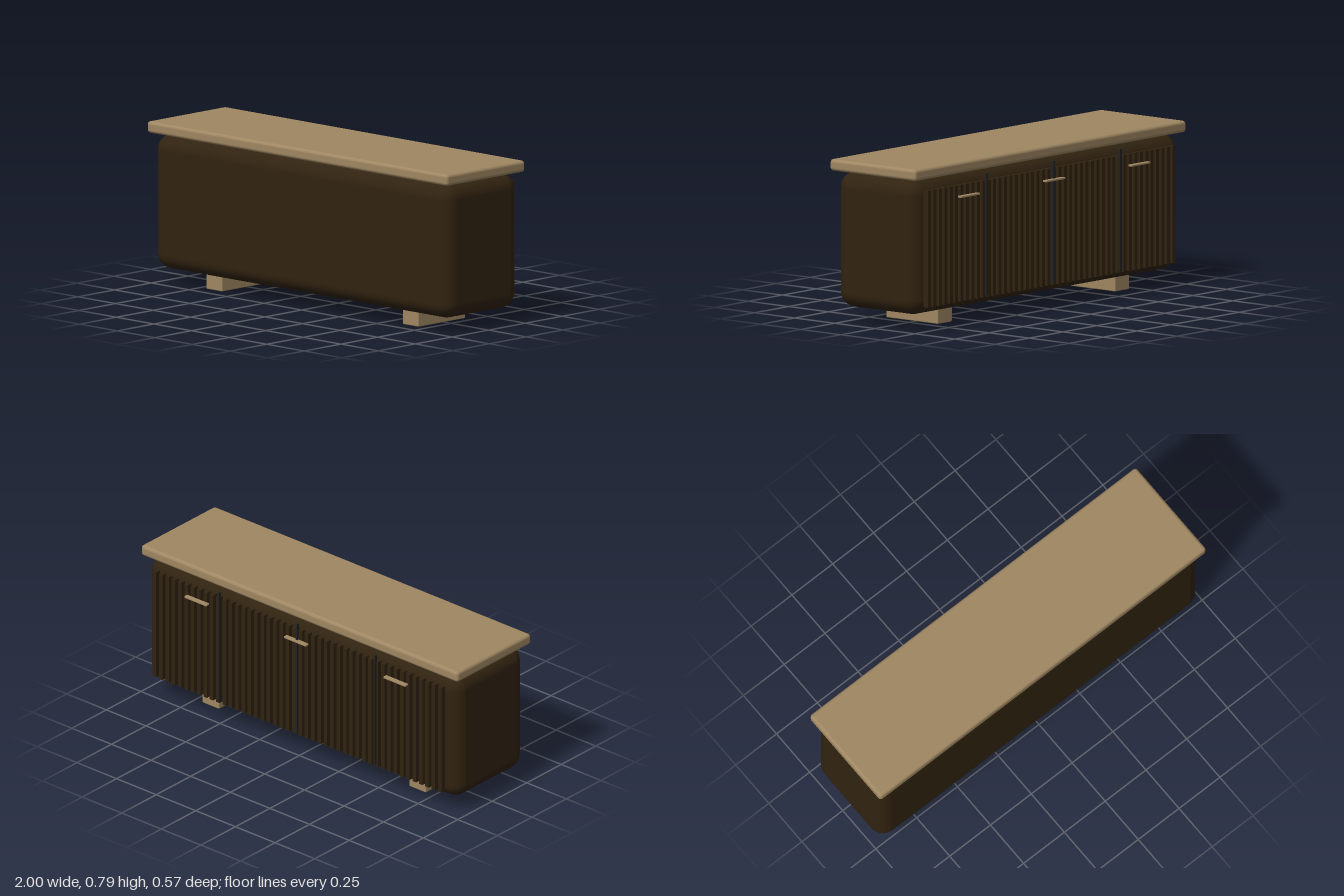
import * as THREE from 'three';
import { RoundedBoxGeometry } from 'three/addons/geometries/RoundedBoxGeometry.js';

const material = (name, color) => {
  const m = new THREE.MeshStandardMaterial({ color });
  m.name = name;
  return m;
};

export function createModel() {
  const group = new THREE.Group();
  group.name = 'sideboard';
  const oak = material('light oak', 0x9f8762);
  const walnut = material('dark walnut', 0x312310);
  const black = material('black trim', 0x222222);

  // Box from its limits on each axis, with optional rounded edges
  function box(name, mat, [x0, x1], [y0, y1], [z0, z1], radius = 0, segments = 3) {
    const size = [x1 - x0, y1 - y0, z1 - z0];
    const geometry = radius
      ? new RoundedBoxGeometry(...size, segments, radius)
      : new THREE.BoxGeometry(...size);
    const mesh = new THREE.Mesh(geometry, mat);
    mesh.name = name;
    mesh.position.set((x0 + x1) / 2, (y0 + y1) / 2, (z0 + z1) / 2);
    group.add(mesh);
  }

  // Cabinet and overhanging top
  box('cabinetBody', walnut, [-0.983, 0.983], [0.078, 0.73], [-0.235, 0.266], 0.075, 4);
  box('topBoard', oak, [-1, 1], [0.734, 0.79], [-0.252, 0.284], 0.016, 4);

  // Sled feet
  for (const x of [-0.653, 0.653])
    box('foot', oak, [x - 0.053, x + 0.053], [0.002, 0.085], [-0.144, 0.178], 0.005, 2);

  // Vertical slats across the doors
  const slatCount = 46, pitch = 0.04;
  for (let i = 0; i < slatCount; i++) {
    const x = (i - (slatCount - 1) / 2) * pitch + 0.005;
    box('slat', walnut, [x - 0.011, x + 0.011], [0.118, 0.682], [-0.261, -0.234]);
  }

  // Door dividers
  for (const x of [-0.492, 0, 0.492])
    box('doorDivider', black, [x - 0.006, x + 0.006], [0.127, 0.717], [-0.272, -0.258]);

  // Bar handles
  for (const x of [-0.628, 0, 0.628])
    box('handle', oak, [x - 0.07, x + 0.07], [0.622, 0.632], [-0.284, -0.26], 0.003, 2);

  return group;
}
